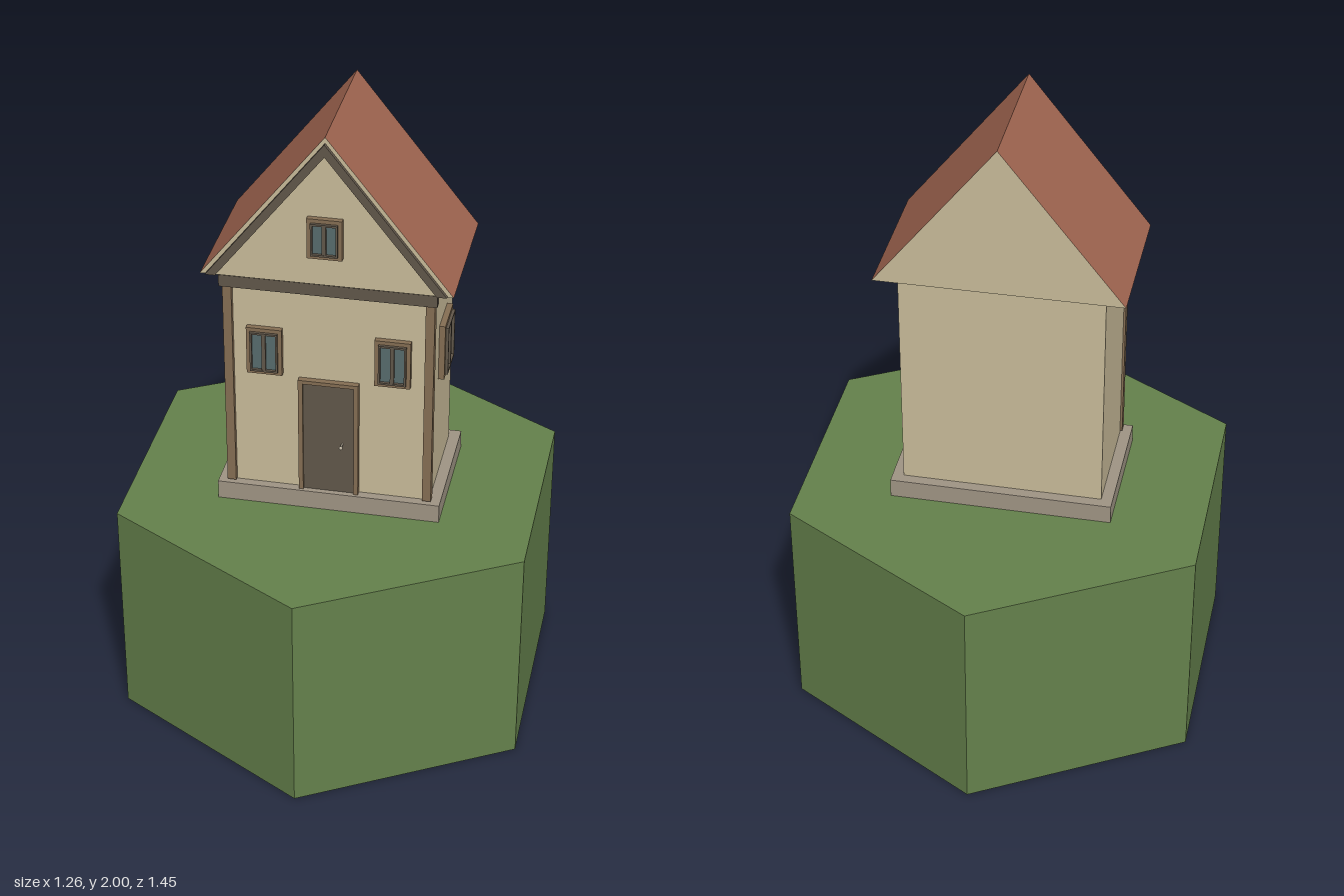
import * as THREE from 'three';

const mat = (name, color) => {
  const m = new THREE.MeshStandardMaterial({ color });
  m.name = name;
  return m;
};

export function createModel() {
  const grass = mat('grass green', 0x64804b);
  const plaster = mat('cream plaster', 0xc8bb99);
  const tile = mat('roof red', 0xa26651);
  const stone = mat('foundation stone', 0x9f9484);
  const wood = mat('post brown', 0x856e53);
  const darkWood = mat('dark wood', 0x61574a);
  const glass = mat('window glass', 0x576c6d);
  const metal = mat('knob metal', 0xb5ab98);

  const model = new THREE.Group();
  model.name = 'houseOnHexTile';

  const add = (name, geometry, material, x, y, z, parent = model) => {
    const mesh = new THREE.Mesh(geometry, material);
    mesh.name = name;
    mesh.position.set(x, y, z);
    parent.add(mesh);
    return mesh;
  };
  const box = (name, material, w, h, d, x, y, z, parent) =>
    add(name, new THREE.BoxGeometry(w, h, d), material, x, y, z, parent);
  const polygon = (pts) => new THREE.Shape(pts.map(([x, y]) => new THREE.Vector2(x, y)));
  const extrude = (shape, depth) =>
    new THREE.ExtrudeGeometry(shape, { depth, bevelEnabled: false });

  // rectangular ring, w x h outside, with border t
  const ring = (w, h, t, depth) => {
    const rect = (a, b) => [[-a, -b], [a, -b], [a, b], [-a, b]];
    const shape = polygon(rect(w / 2, h / 2));
    shape.holes.push(polygon(rect(w / 2 - t, h / 2 - t)));
    return extrude(shape, depth);
  };

  // hexagonal ground block
  const hex = new THREE.CylinderGeometry(0.726, 0.726, 0.726, 6).toNonIndexed();
  hex.computeVertexNormals();
  add('ground', hex, grass, 0, 0.363, 0);

  // foundation and walls
  box('foundation', stone, 0.69, 0.06, 0.428, 0, 0.756, 0);
  box('walls', plaster, 0.62, 0.745, 0.367, 0, 1.157, 0.003);

  // gabled roof prism: red slopes, plaster gables, dark soffit
  const roof = extrude(polygon([[-0.375, 1.527], [0.375, 1.527], [0, 2]]), 0.462);
  roof.clearGroups();
  const normal = roof.attributes.normal;
  for (let i = 0; i < normal.count; i += 3) {
    const ny = normal.getY(i);
    roof.addGroup(i, 3, ny > 0.1 ? 0 : ny < -0.1 ? 2 : 1);
  }
  add('roof', roof, [tile, plaster, darkWood], 0, 0, -0.23);

  // barge boards along the front gable
  for (const s of [-1, 1]) {
    const pts = [[0, 1.943], [s * 0.327, 1.53], [s * 0.357, 1.53], [0, 1.982]];
    add(s < 0 ? 'bargeBoardRight' : 'bargeBoardLeft', extrude(polygon(pts), 0.013), darkWood, 0, 0, 0.231);
  }

  // beam under the gable and corner posts
  box('frontBeam', darkWood, 0.65, 0.038, 0.03, 0, 1.497, 0.199);
  for (const s of [-1, 1]) {
    box('cornerPost', wood, 0.027, 0.69, 0.03, s * 0.3035, 1.136, 0.188);
  }

  // front door
  const door = new THREE.Group();
  door.name = 'door';
  door.position.set(0, 0.787, 0.186);
  model.add(door);
  box('doorLeaf', darkWood, 0.156, 0.378, 0.016, 0, 0.189, 0.004, door);
  box('doorLintel', wood, 0.184, 0.012, 0.024, 0, 0.384, 0.008, door);
  for (const s of [-1, 1]) {
    box('doorJamb', wood, 0.014, 0.378, 0.024, s * 0.085, 0.189, 0.008, door);
  }
  add('doorKnob', new THREE.SphereGeometry(0.006, 10, 8), metal, 0.042, 0.175, 0.036, door);
  const stem = add('knobStem', new THREE.CylinderGeometry(0.003, 0.003, 0.028, 8), metal, 0.042, 0.175, 0.02, door);
  stem.rotation.x = Math.PI / 2;

  // window: outer casing, projecting sash, panes and centre bar
  const addWindow = (name, w, h, x, y, z, turn = 0) => {
    const g = new THREE.Group();
    g.name = name;
    g.position.set(x, y, z);
    g.rotation.y = turn;
    model.add(g);
    add('casing', ring(w, h, 0.012, 0.018), wood, 0, 0, 0, g);
    add('sash', ring(w - 0.024, h - 0.024, 0.006, 0.027), darkWood, 0, 0, 0, g);
    box('glass', glass, w - 0.03, h - 0.03, 0.008, 0, 0, 0.014, g);
    box('centreBar', darkWood, 0.012, h - 0.03, 0.026, 0, 0, 0.013, g);
  };
  addWindow('frontWindowRight', 0.108, 0.156, -0.194, 1.263, 0.186);
  addWindow('frontWindowLeft', 0.108, 0.156, 0.194, 1.263, 0.186);
  addWindow('gableWindow', 0.104, 0.128, 0, 1.684, 0.231);
  addWindow('sideWindow', 0.142, 0.184, 0.31, 1.238, -0.005, Math.PI / 2);

  return model;
}
